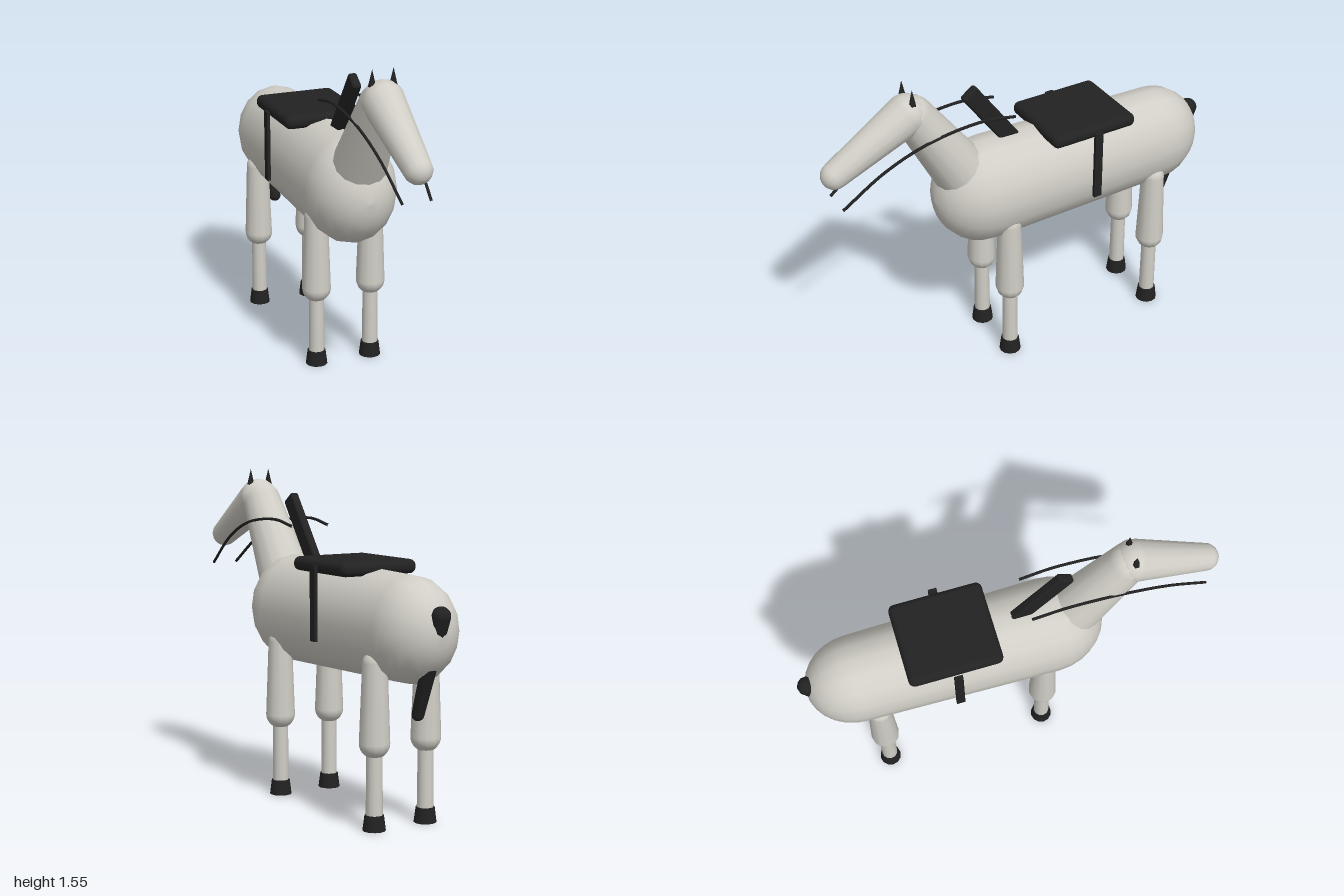
import * as THREE from 'three';
import { RoundedBoxGeometry } from 'three/addons/geometries/RoundedBoxGeometry.js';

const UP = new THREE.Vector3(0, 1, 0);

export function createModel() {
  const model = new THREE.Group();
  model.name = 'saddledHorse';

  const coat = new THREE.MeshStandardMaterial({ color: 0xd0cec6 });
  coat.name = 'pale grey coat';
  const black = new THREE.MeshStandardMaterial({ color: 0x222222 });
  black.name = 'black tack and hair';

  const add = (name, geometry, material, x = 0, y = 0, z = 0, parent = model) => {
    const mesh = new THREE.Mesh(geometry, material);
    mesh.name = name;
    mesh.position.set(x, y, z);
    parent.add(mesh);
    return mesh;
  };

  // Round-ended tapering limb between two [y, z] points on the centre plane
  const limb = (name, material, [y0, z0], r0, [y1, z1], r1, sides = 14, widthScale = 1, x = 0, parent = model) => {
    const dir = new THREE.Vector3(0, y1 - y0, z1 - z0);
    const length = dir.length();
    const steps = 7;
    const profile = [];
    for (let i = 0; i <= steps; i++) {
      const a = (i / steps) * Math.PI / 2;
      profile.push(new THREE.Vector2(r0 * Math.sin(a), -r0 * Math.cos(a)));
    }
    for (let i = 0; i <= steps; i++) {
      const a = (i / steps) * Math.PI / 2;
      profile.push(new THREE.Vector2(Math.max(0, r1 * Math.cos(a)), length + r1 * Math.sin(a)));
    }
    const mesh = add(name, new THREE.LatheGeometry(profile, sides), material, x, y0, z0, parent);
    mesh.quaternion.setFromUnitVectors(UP, dir.normalize());
    mesh.scale.x = widthScale;
    return mesh;
  };

  // Barrel, neck, head and tail
  limb('body', coat, [0.89, -0.728], 0.24, [0.89, 0.195], 0.26, 16, 0.835);
  limb('neck', coat, [0.95, 0.27], 0.137, [1.39, 0.55], 0.093);
  limb('head', coat, [1.4, 0.58], 0.097, [1.203, 0.935], 0.064);
  limb('tail', black, [0.97, -0.955], 0.044, [0.525, -0.795], 0.029, 10);

  // Legs
  for (const [end, z] of [['front', 0.14], ['back', -0.665]]) {
    for (const [side, s] of [['Left', 1], ['Right', -1]]) {
      const leg = new THREE.Group();
      leg.name = `${end}${side}Leg`;
      leg.position.set(s * 0.138, 0, z);
      model.add(leg);
      limb('upperLeg', coat, [0.39, 0], 0.068, [0.745, 0], 0.055, 12, 1.02, 0, leg);
      add('lowerLeg', new THREE.CylinderGeometry(0.036, 0.038, 0.3, 12), coat, 0, 0.2, 0, leg);
      add('hoof', new THREE.CylinderGeometry(0.043, 0.052, 0.07, 12), black, 0, 0.035, 0, leg);
    }
  }

  // Mane crest leaning forward along the withers
  const mane = add('mane', new RoundedBoxGeometry(0.042, 0.42, 0.085, 2, 0.012), black, 0, 1.25, 0.147);
  mane.rotation.x = 0.625;

  // Saddle pad
  add('saddle', new RoundedBoxGeometry(0.4, 0.065, 0.44, 4, 0.03), black, 0, 1.137, -0.29);

  for (const [side, s] of [['left', 1], ['right', -1]]) {
    // Stirrup strap
    add(`${side}Strap`, new THREE.BoxGeometry(0.016, 0.345, 0.04), black, s * 0.218, 0.973, -0.29);

    // Ear
    add(`${side}Ear`, new THREE.ConeGeometry(0.02, 0.085, 6), black, s * 0.05, 1.503, 0.57);

    // Rein
    const path = new THREE.CatmullRomCurve3([
      [0.1, 1.29, 0.085], [0.101, 1.316, 0.25], [0.098, 1.287, 0.515],
      [0.085, 1.2, 0.73], [0.066, 1.055, 0.935],
    ].map(([x, y, z]) => new THREE.Vector3(s * x, y, z)));
    add(`${side}Rein`, new THREE.TubeGeometry(path, 24, 0.007, 6), black);
  }

  return model;
}
